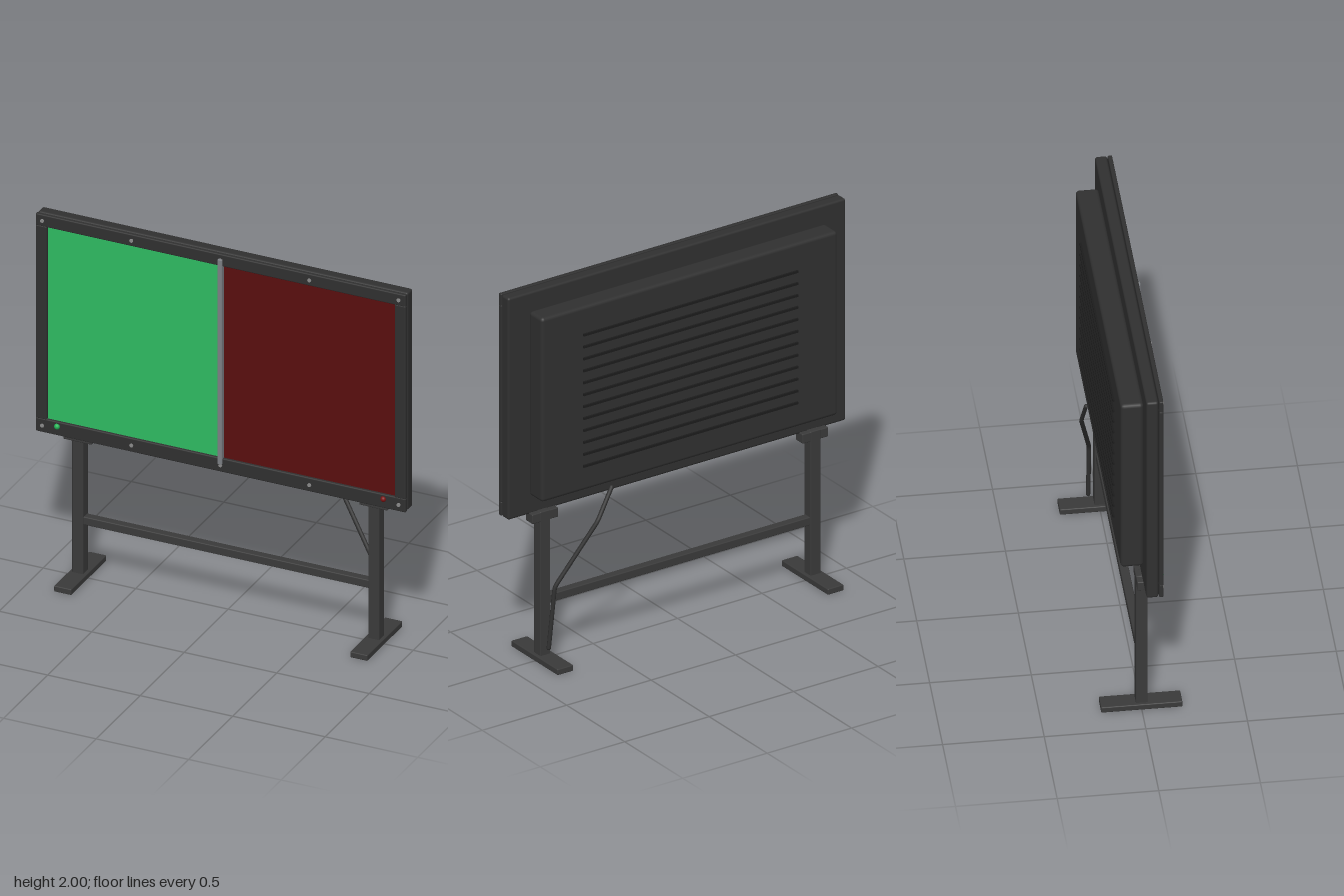
import * as THREE from 'three';
import { RoundedBoxGeometry } from 'three/addons/geometries/RoundedBoxGeometry.js';

const mat = (name, color) => new THREE.MeshStandardMaterial({ name, color });

export function createModel() {
  const cabinetMat = mat('cabinet black', 0x303030);
  const legMat = mat('leg grey', 0x3a3a3a);
  const ventMat = mat('vent black', 0x1c1c1c);
  const greenMat = mat('panel green', 0x2fbb62);
  const redMat = mat('panel dark red', 0x5a0e0e);
  const dividerMat = mat('divider grey', 0x7c7f84);
  const screwMat = mat('screw steel', 0x8a8a8a);
  const greenLightMat = mat('lamp green', 0x22b455);
  const redLightMat = mat('lamp red', 0x7a1212);

  const model = new THREE.Group();
  model.name = 'displayBoard';

  const add = (name, geometry, material, x = 0, y = 0, z = 0) => {
    const mesh = new THREE.Mesh(geometry, material);
    mesh.name = name;
    mesh.position.set(x, y, z);
    model.add(mesh);
    return mesh;
  };
  // Box given by its limits, with optional rounded edges
  const block = (name, material, [x0, x1], [y0, y1], [z0, z1], r = 0) => {
    const size = [x1 - x0, y1 - y0, z1 - z0];
    const geometry = r ? new RoundedBoxGeometry(...size, 2, r) : new THREE.BoxGeometry(...size);
    return add(name, geometry, material, (x0 + x1) / 2, (y0 + y1) / 2, (z0 + z1) / 2);
  };

  // Cabinet and rear housing
  block('cabinet', cabinetMat, [-1, 1], [0.8, 2], [0.003, 0.063], 0.012);
  block('rearHousing', cabinetMat, [-0.877, 0.877], [0.905, 1.9], [-0.108, 0.006], 0.018);

  // Rear ventilation slats
  for (let i = 0; i < 12; i++) {
    const y = 1.04 + i * 0.0646;
    block('ventSlat', ventMat, [-0.635, 0.635], [y - 0.006, y + 0.006], [-0.118, -0.104]);
  }

  // Front panels and the bar between them
  block('greenPanel', greenMat, [-0.945, 0], [0.87, 1.94], [0.058, 0.074]);
  block('redPanel', redMat, [0, 0.945], [0.87, 1.94], [0.058, 0.074]);
  block('divider', dividerMat, [-0.012, 0.012], [0.845, 1.975], [0.07, 0.1], 0.004);

  // Front bezel
  block('topBezel', cabinetMat, [-1, 1], [1.935, 2], [0.066, 0.088], 0.006);
  block('bottomBezel', cabinetMat, [-1, 1], [0.8, 0.875], [0.066, 0.088], 0.006);
  for (const s of [-1, 1]) {
    block('sideBezel', cabinetMat, [s * 0.97 - 0.03, s * 0.97 + 0.03], [0.872, 1.938], [0.066, 0.088], 0.006);
  }

  // Bezel screws
  const screwGeometry = new THREE.CylinderGeometry(0.01, 0.01, 0.008, 12).rotateX(Math.PI / 2);
  for (const y of [0.837, 1.967]) {
    for (const x of [-0.963, -0.481, 0, 0.481, 0.963]) add('screw', screwGeometry, screwMat, x, y, 0.089);
  }

  // Indicator lamps
  const lampGeometry = new THREE.SphereGeometry(0.015, 16, 10);
  add('greenLamp', lampGeometry, greenLightMat, -0.883, 0.85, 0.088);
  add('redLamp', lampGeometry, redLightMat, 0.88, 0.85, 0.088);

  // Legs, feet and mounting brackets
  for (const s of [-1, 1]) {
    const x = s * 0.8;
    block('leg', legMat, [x - 0.03, x + 0.03], [0.02, 0.81], [-0.027, 0.031], 0.005);
    block('foot', legMat, [x - 0.047, x + 0.047], [0, 0.032], [-0.2, 0.2], 0.005);
    block('bracket', legMat, [x - 0.077, x + 0.077], [0.757, 0.808], [-0.026, 0.034], 0.005);
  }
  block('crossbar', legMat, [-0.78, 0.78], [0.302, 0.346], [-0.02, 0.024], 0.005);

  // Power cable running from the housing down the left leg
  const points = [[0.465, 0.88, -0.108], [0.555, 0.725, -0.12], [0.765, 0.4, -0.055], [0.8, 0.08, -0.055]]
    .map((p) => new THREE.Vector3(...p));
  const cable = new THREE.CurvePath();
  for (let i = 0; i < 3; i++) {
    // Straight runs joined by short bends
    const a = points[i], b = points[i + 1];
    const start = i > 0 ? a.clone().lerp(b, 0.06) : a;
    const end = i < 2 ? b.clone().lerp(a, 0.06) : b;
    cable.add(new THREE.LineCurve3(start, end));
    if (i < 2) cable.add(new THREE.QuadraticBezierCurve3(end, b, b.clone().lerp(points[i + 2], 0.06)));
  }
  add('cable', new THREE.TubeGeometry(cable, 48, 0.011, 8), cabinetMat);
  for (const p of [points[0], points[3]]) add('cableEnd', new THREE.SphereGeometry(0.011, 8, 6), cabinetMat, p.x, p.y, p.z);

  return model;
}
